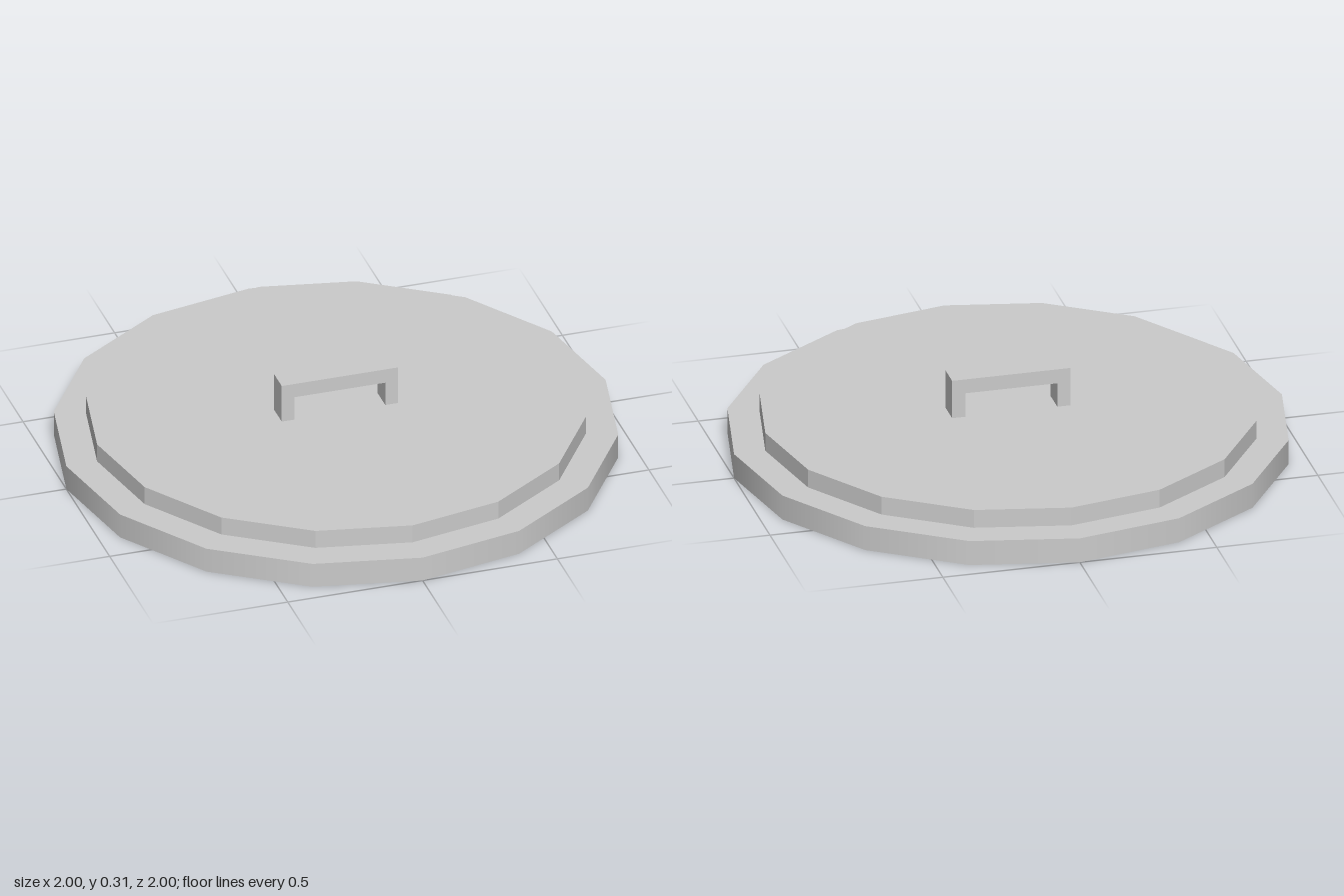
import * as THREE from 'three';

const SIDES = 16;
const flat = new THREE.MeshStandardMaterial({ color: 0xcccccc, flatShading: true });
const smooth = new THREE.MeshStandardMaterial({ color: 0xcccccc });

// Revolves a profile of [radius, height] points into a 16-sided part
function turned(name, profile, material) {
  const points = profile.map(([r, y]) => new THREE.Vector2(r, y));
  const mesh = new THREE.Mesh(new THREE.LatheGeometry(points, SIDES), material);
  mesh.name = name;
  return mesh;
}

export function createModel() {
  const lid = new THREE.Group();
  lid.name = 'lid';

  // Hollow underside: recessed floor, inner wall and bottom lip
  lid.add(turned('underside', [[0, 0.055], [0.94, 0.055], [0.94, 0], [1, 0]], flat));

  // Outer rim wall, smoothly shaded
  lid.add(turned('rimWall', [[1, 0], [1, 0.093]], smooth));

  // Ledge and raised top plate
  lid.add(turned('topPlate', [[1, 0.093], [0.886, 0.093], [0.886, 0.162], [0, 0.162]], flat));

  // Square bracket handle: two legs and a bar in one outline
  const outer = 0.216, inner = 0.168, base = 0.162, under = 0.253, top = 0.307;
  const outline = new THREE.Shape([
    [-outer, base], [-inner, base], [-inner, under], [inner, under],
    [inner, base], [outer, base], [outer, top], [-outer, top],
  ].map(([x, y]) => new THREE.Vector2(x, y)));
  const depth = 0.092;
  const geometry = new THREE.ExtrudeGeometry(outline, { depth, bevelEnabled: false });
  geometry.translate(0, 0, -depth / 2);
  const handle = new THREE.Mesh(geometry, flat);
  handle.name = 'handle';
  lid.add(handle);

  return lid;
}
